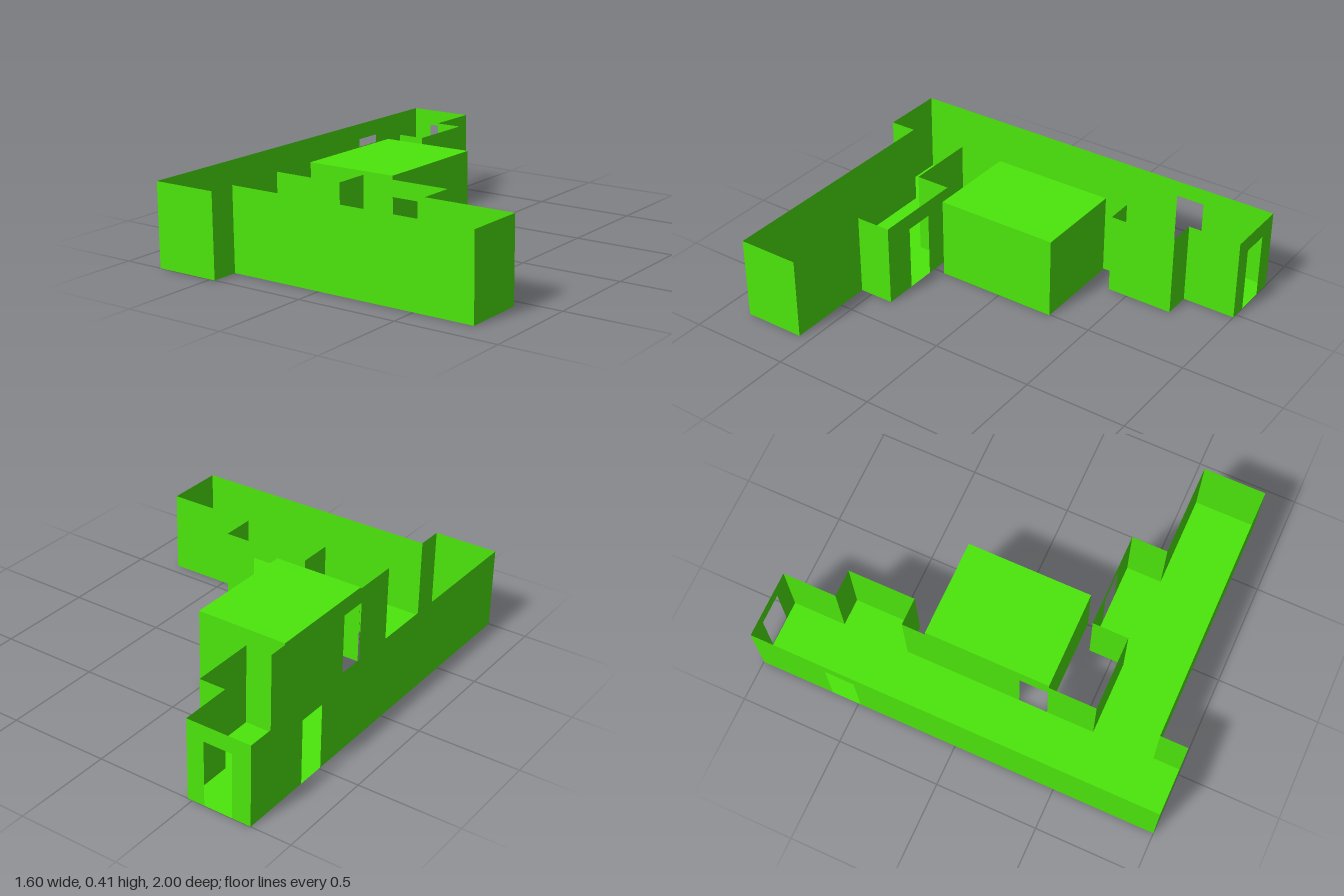
import * as THREE from 'three';

const H = 0.405;      // wall height
const DOOR_H = 0.325; // doorway height

const material = new THREE.MeshStandardMaterial({
  color: 0x4ce60c, side: THREE.DoubleSide, flatShading: true,
});

function addMesh(parent, name, geometry) {
  const mesh = new THREE.Mesh(geometry, material);
  mesh.name = name;
  parent.add(mesh);
  return mesh;
}

// Horizontal sheet from [x, z] corners at height y
function addSlab(parent, name, corners, y) {
  const shape = new THREE.Shape(corners.map(([x, z]) => new THREE.Vector2(x, -z)));
  addMesh(parent, name, new THREE.ShapeGeometry(shape).rotateX(-Math.PI / 2)).position.y = y;
}

// Thin upright wall from a to b; door = [start, end] measured along the wall
function addWall(parent, name, a, b, door) {
  const dx = b[0] - a[0], dz = b[1] - a[1];
  const length = Math.hypot(dx, dz);
  const points = [[0, 0]];
  if (door) points.push([door[0], 0], [door[0], DOOR_H], [door[1], DOOR_H], [door[1], 0]);
  points.push([length, 0], [length, H], [0, H]);
  const shape = new THREE.Shape(points.map(([x, y]) => new THREE.Vector2(x, y)));
  const wall = addMesh(parent, name, new THREE.ShapeGeometry(shape));
  wall.position.set(a[0], 0, a[1]);
  wall.rotation.y = Math.atan2(-dz, dx);
}

// Closed ring of walls; doors are keyed by the wall's index
function addWalls(parent, name, corners, doors) {
  corners.forEach((a, i) => addWall(parent, name + (i + 1), a, corners[(i + 1) % corners.length], doors[i]));
}

export function createModel() {
  const model = new THREE.Group();
  model.name = 'floorPlan';

  // Open-topped corridor with its alcoves
  const corridor = new THREE.Group();
  corridor.name = 'corridor';
  model.add(corridor);
  const outline = [
    [-0.8, 1], [-0.475, 1], [-0.475, 0.865], [0.8, 0.865], [0.8, 0.56],
    [0.345, 0.56], [0.345, 0.385], [-0.115, 0.385], [-0.115, 0.56], [-0.475, 0.56],
    [-0.475, -0.4], [-0.34, -0.4], [-0.34, -0.735], [-0.475, -0.735], [-0.475, -1], [-0.8, -1],
  ];
  addSlab(corridor, 'corridorFloor', outline, 0);
  addWalls(corridor, 'corridorWall', outline, {
    6: [0.16, 0.305],   // side alcove doorway
    9: [0.235, 0.38],   // doorway to the room
    14: [0.087, 0.23],  // end doorway
    15: [0.365, 0.51],  // outer long wall doorway
  });

  // Roofed room, open below
  const room = new THREE.Group();
  room.name = 'room';
  model.add(room);
  const roomOutline = [[-0.467, 0.325], [0.005, 0.325], [0.005, -0.288], [-0.467, -0.288]];
  addSlab(room, 'roomRoof', roomOutline, H);
  addWalls(room, 'roomWall', roomOutline, { 3: [0.468, 0.612] });

  // Lintel joining the two doorways
  addSlab(room, 'doorLintel', [[-0.475, 0.325], [-0.467, 0.325], [-0.467, 0.18], [-0.475, 0.18]], DOOR_H);

  return model;
}
